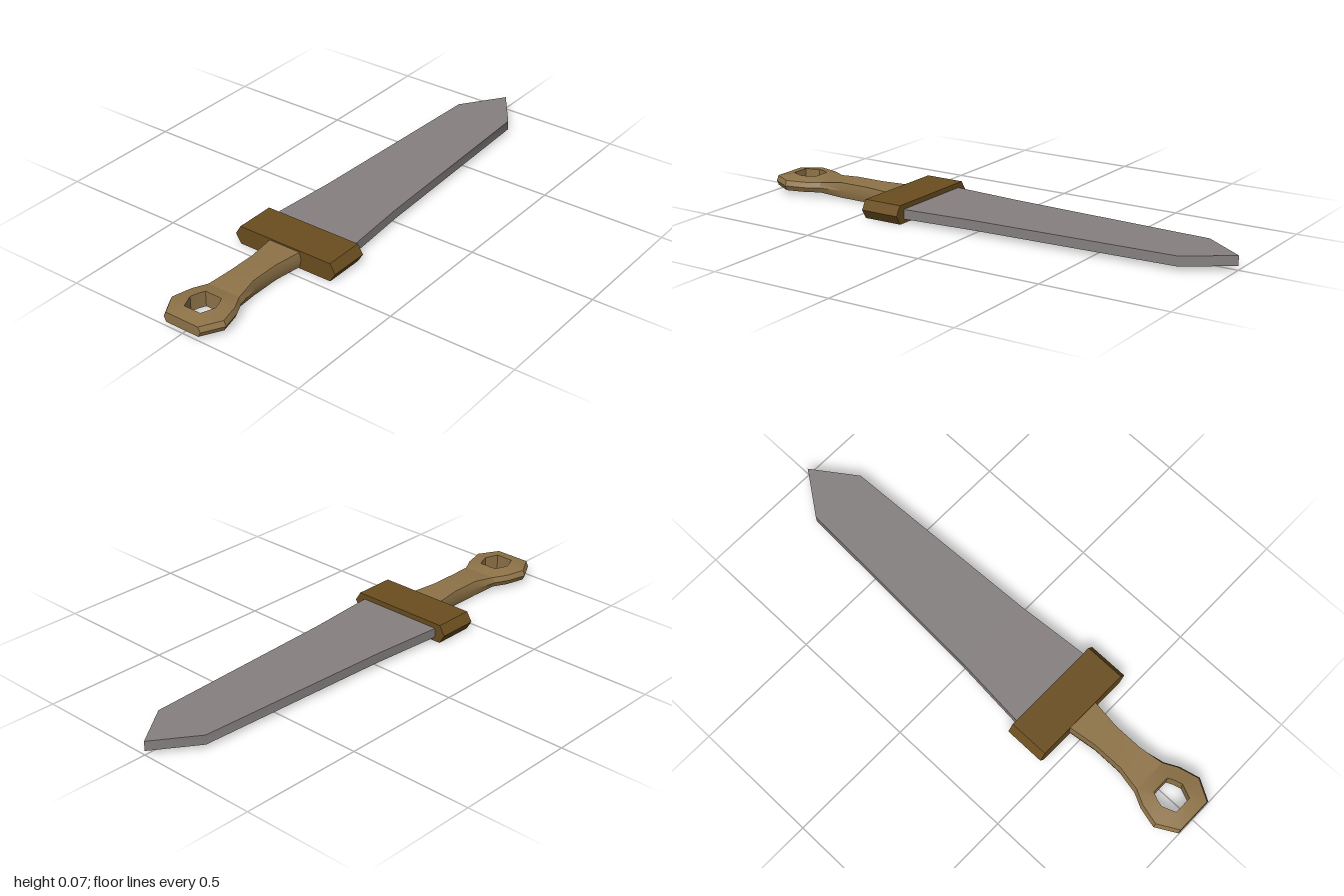
import * as THREE from 'three';
import { toCreasedNormals } from 'three/addons/utils/BufferGeometryUtils.js';

const MID = 0.037; // height of the dagger's centre plane
const CREASE = 0.65; // edges sharper than this stay hard

function material(name, color) {
  const m = new THREE.MeshStandardMaterial({ color });
  m.name = name;
  return m;
}

function part(name, geometry, mat) {
  const mesh = new THREE.Mesh(toCreasedNormals(geometry, CREASE), mat);
  mesh.name = name;
  return mesh;
}

// Straight prism from an outline of [x, y] points
function prism(outline, depth) {
  const shape = new THREE.Shape(outline.map(([x, y]) => new THREE.Vector2(x, y)));
  return new THREE.ExtrudeGeometry(shape, { depth, bevelEnabled: false });
}

// Joins loops of equal length with quads
function skin(loops, closed) {
  const pos = [];
  const count = closed ? loops.length : loops.length - 1;
  for (let i = 0; i < count; i++) {
    const a = loops[i], b = loops[(i + 1) % loops.length];
    for (let j = 0; j < a.length; j++) {
      const k = (j + 1) % a.length;
      pos.push(...a[j], ...a[k], ...b[k], ...a[j], ...b[k], ...b[j]);
    }
  }
  const g = new THREE.BufferGeometry();
  g.setAttribute('position', new THREE.Float32BufferAttribute(pos, 3));
  return g;
}

export function createModel() {
  const steel = material('steel', 0x868180);
  const wood = material('handle wood', 0x8e7348);
  const bronze = material('guard bronze', 0x6b4e1f);
  const dagger = new THREE.Group();
  dagger.name = 'dagger';

  // Blade: flat plate tapering to a point at the back
  const bladeSide = [[0.182, -0.3], [0.158, 0], [0.121, 0.83]];
  const bladeOutline = [
    ...bladeSide, [0, 1],
    ...bladeSide.slice().reverse().map(([x, y]) => [-x, y]),
  ];
  const bladeGeo = prism(bladeOutline, 0.038).rotateX(-Math.PI / 2).translate(0, 0.016, 0);
  dagger.add(part('blade', bladeGeo, steel));

  // Guard: hexagonal bar with pointed ends
  const guardGeo = prism([
    [-0.205, 0], [0.205, 0], [0.228, MID], [0.205, 2 * MID], [-0.205, 2 * MID], [-0.228, MID],
  ], 0.162).translate(0, 0, 0.294);
  dagger.add(part('guard', guardGeo, bronze));

  // Grip: six-sided cross-sections of [z, half width, half height, bevel]
  const gripLoops = [
    [0.44, 0.077, 0.031, 0.007], [0.57, 0.06, 0.031, 0.007],
    [0.69, 0.06, 0.031, 0.007], [0.785, 0.079, 0.02, 0.01],
  ].map(([z, w, h, bevel]) => [
    [w, MID, z], [w - bevel, MID + h, z], [-w + bevel, MID + h, z],
    [-w, MID, z], [-w + bevel, MID - h, z], [w - bevel, MID - h, z],
  ]);
  dagger.add(part('grip', skin(gripLoops, false), wood));

  // Pommel: bevelled ring around a hole
  const outerSide = [[0.079, 0.785], [0.107, 0.84], [0.127, 0.92], [0.082, 1]];
  const holeSide = [[0.036, 0.838], [0.048, 0.863], [0.057, 0.893], [0.036, 0.946]];
  const ring = (side, inset, dy) => [
    ...side.map(([x, z]) => [x - inset, MID + dy, z]),
    ...side.slice().reverse().map(([x, z]) => [inset - x, MID + dy, z]),
  ];
  const pommelLoops = [
    ring(outerSide, 0.01, 0.02), ring(outerSide, 0, 0), ring(outerSide, 0.01, -0.02),
    ring(holeSide, 0, -0.031), ring(holeSide, 0, 0.031),
  ];
  dagger.add(part('pommel', skin(pommelLoops, true), wood));

  return dagger;
}
